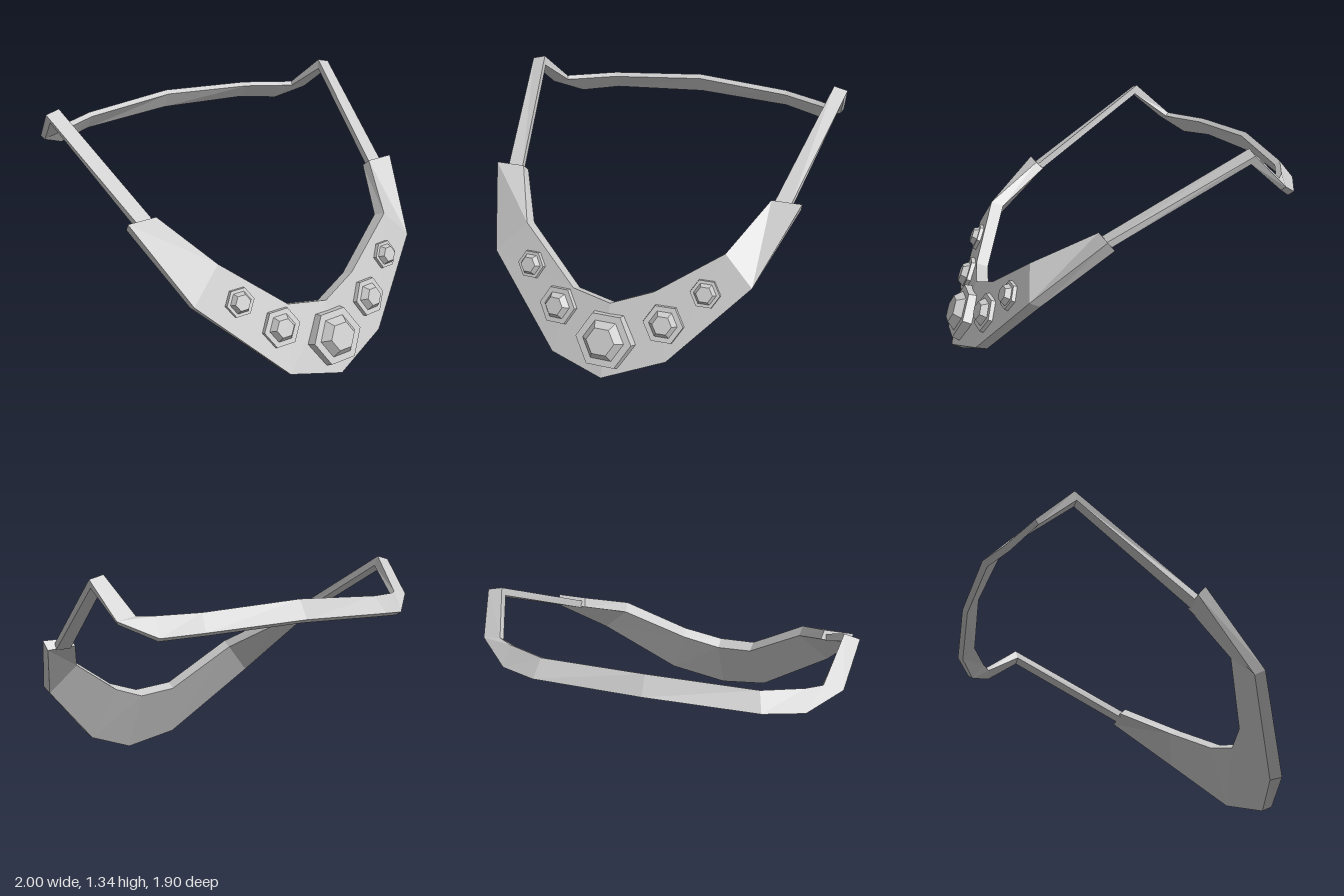
import * as THREE from 'three';

const material = new THREE.MeshStandardMaterial({ color: 0xcccccc, flatShading: true });

// Skin four-cornered cross-sections, running left to right, and cap both ends
function loft(name, sections) {
  const pos = [];
  const quad = (a, b, c, d) => pos.push(...a, ...b, ...c, ...a, ...c, ...d);
  for (let i = 0; i < sections.length - 1; i++) {
    const s = sections[i], t = sections[i + 1];
    for (let j = 0; j < 4; j++) {
      const k = (j + 1) % 4;
      quad(s[j], t[j], t[k], s[k]);
    }
  }
  const first = sections[0], last = sections[sections.length - 1];
  quad(first[0], first[1], first[2], first[3]);
  quad(last[3], last[2], last[1], last[0]);
  const geometry = new THREE.BufferGeometry();
  geometry.setAttribute('position', new THREE.Float32BufferAttribute(pos, 3));
  geometry.computeVertexNormals();
  const mesh = new THREE.Mesh(geometry, material);
  mesh.name = name;
  return mesh;
}

// Hexagonal gem in a thin setting, lying on the plate
function gemStone(name, center, normal, radius, gemRadius, topRadius, height) {
  const group = new THREE.Group();
  group.name = name;
  const add = (part, rTop, rBottom, y0, y1) => {
    const geometry = new THREE.CylinderGeometry(rTop, rBottom, y1 - y0, 6, 1, false, Math.PI / 2);
    geometry.translate(0, (y0 + y1) / 2, 0);
    const mesh = new THREE.Mesh(geometry, material);
    mesh.name = part;
    group.add(mesh);
  };
  const rim = height * 0.45;
  add('setting', radius * 0.95, radius, -0.015, rim);
  add('gem', topRadius, gemRadius, rim - 0.005, height);
  const y = new THREE.Vector3(...normal).normalize();
  const x = new THREE.Vector3(1, 0, 0).addScaledVector(y, -y.x).normalize();
  const z = new THREE.Vector3().crossVectors(x, y);
  group.quaternion.setFromRotationMatrix(new THREE.Matrix4().makeBasis(x, y, z));
  group.position.set(...center);
  return group;
}

export function createModel() {
  const model = new THREE.Group();
  model.name = 'necklace';

  // Breast plate: front lower, front upper, back upper, back lower corners
  model.add(loft('breastPlate', [
    [[-0.91, 0.90, 0.24], [-0.74, 0.90, 0.24], [-0.73, 0.86, 0.20], [-0.90, 0.85, 0.20]],
    [[-0.75, 0.53, 0.62], [-0.57, 0.71, 0.57], [-0.56, 0.68, 0.50], [-0.74, 0.50, 0.56]],
    [[-0.31, 0.10, 0.87], [-0.23, 0.44, 0.73], [-0.22, 0.41, 0.665], [-0.30, 0.08, 0.80]],
    [[0, 0.03, 0.93], [0, 0.41, 0.77], [0, 0.38, 0.70], [0, 0, 0.87]],
    [[0.34, 0.15, 0.84], [0.23, 0.49, 0.71], [0.22, 0.46, 0.645], [0.33, 0.13, 0.775]],
    [[0.74, 0.55, 0.61], [0.58, 0.71, 0.57], [0.57, 0.68, 0.50], [0.73, 0.52, 0.55]],
    [[0.91, 0.90, 0.24], [0.74, 0.90, 0.24], [0.73, 0.86, 0.20], [0.90, 0.85, 0.20]],
  ]));

  // Neck band: half of it from the nape to the plate, then mirrored
  const half = [
    [[0, 1.07, -0.92], [0, 1.17, -0.86], [0, 1.19, -0.89], [0, 1.09, -0.95]],
    [[0.57, 1.05, -0.88], [0.57, 1.14, -0.81], [0.57, 1.16, -0.84], [0.595, 1.07, -0.91]],
    [[0.79, 1.03, -0.79], [0.77, 1.13, -0.725], [0.78, 1.15, -0.75], [0.80, 1.05, -0.82]],
    [[0.945, 1.11, -0.67], [0.85, 1.13, -0.68], [0.86, 1.15, -0.70], [0.96, 1.13, -0.69]],
    [[0.985, 1.27, -0.48], [0.91, 1.28, -0.48], [0.92, 1.335, -0.495], [1.0, 1.315, -0.495]],
    [[0.845, 0.845, 0.21], [0.755, 0.845, 0.21], [0.755, 0.885, 0.225], [0.845, 0.88, 0.225]],
  ];
  const mirrored = half.slice(1).reverse().map(s => s.map(([x, y, z]) => [-x, y, z]));
  model.add(loft('neckBand', [...mirrored, ...half]));

  // Gems: one large in the middle, two shrinking pairs at the sides
  model.add(gemStone('centerGem', [0, 0.225, 0.847], [0, 0.39, 0.92], 0.168, 0.122, 0.08, 0.085));
  for (const [side, label] of [[1, 'left'], [-1, 'right']]) {
    const normal = [side * 0.12, 0.38, 0.92];
    model.add(gemStone(label + 'MiddleGem', [side * 0.303, 0.335, 0.76], normal, 0.115, 0.082, 0.053, 0.065));
    model.add(gemStone(label + 'OuterGem', [side * 0.502, 0.505, 0.662], normal, 0.085, 0.065, 0.045, 0.055));
  }
  return model;
}
